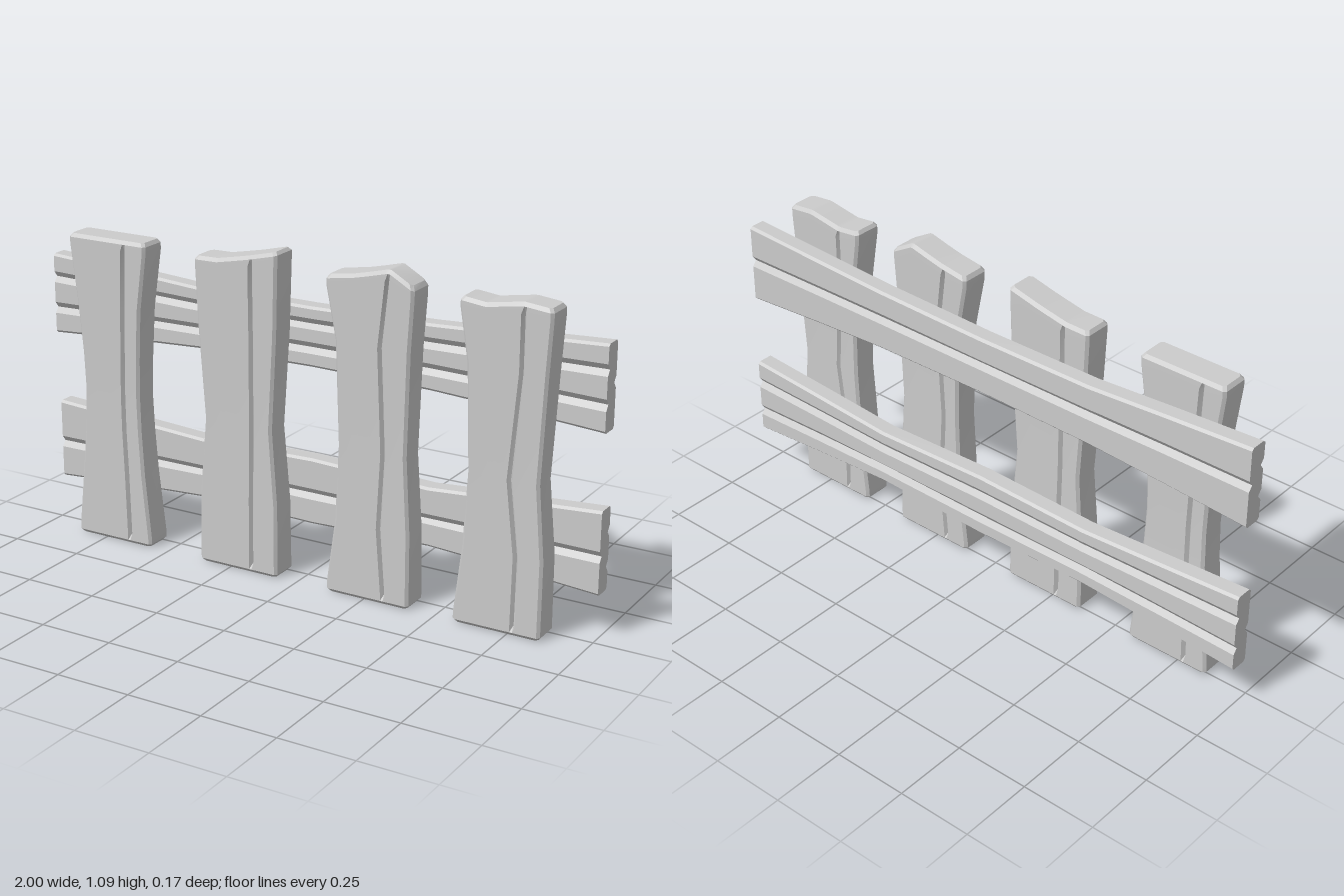
import * as THREE from 'three';
import { toCreasedNormals } from 'three/addons/utils/BufferGeometryUtils.js';

const material = new THREE.MeshStandardMaterial({ color: 0xcccccc });

// piecewise linear lookup in [[x, y], ...]
function lerpTable(table, x) {
  for (let i = 1; i < table.length; i++) {
    const [x0, y0] = table[i - 1], [x1, y1] = table[i];
    if (x <= x1) return y0 + (y1 - y0) * Math.max(0, (x - x0) / (x1 - x0));
  }
  return table[table.length - 1][1];
}

// Cross-section of a plank: front edge one way, back edge the other way.
// sides[k] says whether groove k is cut into the front (1) or the back (-1).
function section(ring, sides, half, bevel) {
  const { lo, hi, grooves, front, back, depth, inset = 0 } = ring;
  const a = lo + inset, b = hi - inset, zf = front - inset, zb = back + inset;
  const cols = [[a, zf - bevel, zb + bevel], [a + bevel, zf, zb]];
  grooves.forEach((g, k) => {
    if (k > 0) cols.push([(g + grooves[k - 1]) / 2, zf, zb]);
    const f = sides[k] > 0 ? depth : 0, r = sides[k] < 0 ? depth : 0;
    cols.push([g - half, zf, zb], [g, zf - f, zb + r], [g + half, zf, zb]);
  });
  cols.push([b - bevel, zf, zb], [b, zf - bevel, zb + bevel]);
  return [...cols.map(c => [c[0], c[1]]), ...cols.reverse().map(c => [c[0], c[2]])];
}

// Skins the cross-sections and closes both ends with strips
function plank(name, rings, sides, half, bevel, horizontal) {
  const pos = [], index = [];
  let n = 0;
  for (const ring of rings) {
    const pts = section(ring, sides, half, bevel);
    n = pts.length;
    for (const [u, z] of pts) {
      const s = typeof ring.s === 'function' ? ring.s(u) : ring.s;
      if (horizontal) pos.push(s, u, z); else pos.push(u, s, z);
    }
  }
  const quad = (a, b, c, d) => horizontal
    ? index.push(a, c, b, a, d, c) : index.push(a, b, c, a, c, d);
  for (let i = 0; i < rings.length - 1; i++)
    for (let j = 0; j < n; j++) {
      const k = (j + 1) % n;
      quad(i * n + j, i * n + k, (i + 1) * n + k, (i + 1) * n + j);
    }
  const t = (rings.length - 1) * n;
  for (let j = 0; j < n / 2 - 1; j++) {
    quad(j, n - 1 - j, n - 2 - j, j + 1);
    quad(t + j, t + j + 1, t + n - 2 - j, t + n - 1 - j);
  }
  const geo = new THREE.BufferGeometry();
  geo.setAttribute('position', new THREE.Float32BufferAttribute(pos, 3));
  geo.setIndex(index);
  const mesh = new THREE.Mesh(toCreasedNormals(geo, 0.45), material);
  mesh.name = name;
  return mesh;
}

// Upright board; rows are [y, left edge, right edge, front groove x]
function picket(name, top, rows) {
  const rings = rows.map(([y, lo, hi, g]) => {
    const thin = 0.006 * (1 - Math.min(1, Math.abs(y - 0.52) / 0.45));
    return {
      s: y, lo, hi, front: 0.085 - thin, back: -0.018 + thin, depth: 0.012,
      grooves: [rows[0][1] + rows[0][2] - g, g],
    };
  });
  const first = rings[0], last = rings[rings.length - 1];
  const topY = x => lerpTable(top, x);
  // rounded ends where the grooves run out
  const all = [
    { ...first, s: 0.003, inset: 0.009, depth: 0 },
    { ...first, s: 0.014, depth: 0 },
    { ...first, s: 0.035 },
    ...rings.slice(1, -1),
    { ...last, s: x => topY(x) - 0.035 },
    { ...last, s: x => topY(x) - 0.012, depth: 0 },
    { ...last, s: topY, inset: 0.009, depth: 0 },
  ];
  return plank(name, all, [-1, 1], 0.009, 0.009, false);
}

// Horizontal board; rows are [x, bottom edge, top edge]
function rail(name, rows, front, back, sides, fractions) {
  const rings = rows.map(([x, lo, hi]) => ({
    s: x, lo, hi, front, back, depth: 0.014,
    grooves: fractions.map(f => lo + (hi - lo) * f),
  }));
  return plank(name, rings, sides, 0.019, 0.008, true);
}

export function createModel() {
  const fence = new THREE.Group();
  fence.name = 'fence';

  // four uneven pickets
  fence.add(
    picket('picket1', [[-0.86, 1.05], [-0.56, 1.05]], [
      [0, -0.86, -0.565, -0.648], [0.25, -0.838, -0.588, -0.655],
      [0.4, -0.824, -0.598, -0.662], [0.52, -0.82, -0.602, -0.664],
      [0.65, -0.824, -0.598, -0.66], [0.82, -0.838, -0.588, -0.653],
      [1.05, -0.86, -0.56, -0.645]]),
    picket('picket2', [[-0.37, 1.04], [-0.29, 1.04], [-0.18, 1.062], [-0.065, 1.09]], [
      [0, -0.365, -0.07, -0.165], [0.25, -0.363, -0.072, -0.165],
      [0.5, -0.342, -0.092, -0.163], [0.82, -0.363, -0.072, -0.16],
      [1.05, -0.37, -0.065, -0.16]]),
    picket('picket3', [[0.11, 1.045], [0.22, 1.062], [0.33, 1.09], [0.41, 1.045]], [
      [0, 0.115, 0.41, 0.322], [0.25, 0.143, 0.408, 0.303],
      [0.5, 0.153, 0.392, 0.314], [0.84, 0.143, 0.402, 0.301],
      [1.05, 0.11, 0.413, 0.325]]),
    picket('picket4', [[0.565, 1.045], [0.65, 1.035], [0.77, 1.055], [0.865, 1.045]], [
      [0, 0.565, 0.86, 0.77], [0.26, 0.59, 0.86, 0.772],
      [0.5, 0.602, 0.838, 0.742], [0.84, 0.592, 0.855, 0.772],
      [1.05, 0.565, 0.865, 0.773]]),
  );

  // two rails behind them, grooved on opposite faces
  fence.add(
    rail('upperRail', [
      [-1, 0.665, 0.94], [-0.7, 0.685, 0.923], [-0.42, 0.7, 0.905], [0, 0.706, 0.903],
      [0.42, 0.7, 0.912], [0.7, 0.685, 0.925], [1, 0.665, 0.94]],
    -0.012, -0.076, [1, -1, 1], [0.32, 0.53, 0.71]),
    rail('lowerRail', [
      [-1, 0.145, 0.42], [-0.7, 0.165, 0.402], [-0.42, 0.18, 0.386], [0, 0.172, 0.396],
      [0.42, 0.184, 0.38], [0.7, 0.168, 0.4], [1, 0.147, 0.42]],
    -0.02, -0.085, [-1, 1, -1], [0.29, 0.46, 0.7]),
  );
  return fence;
}
